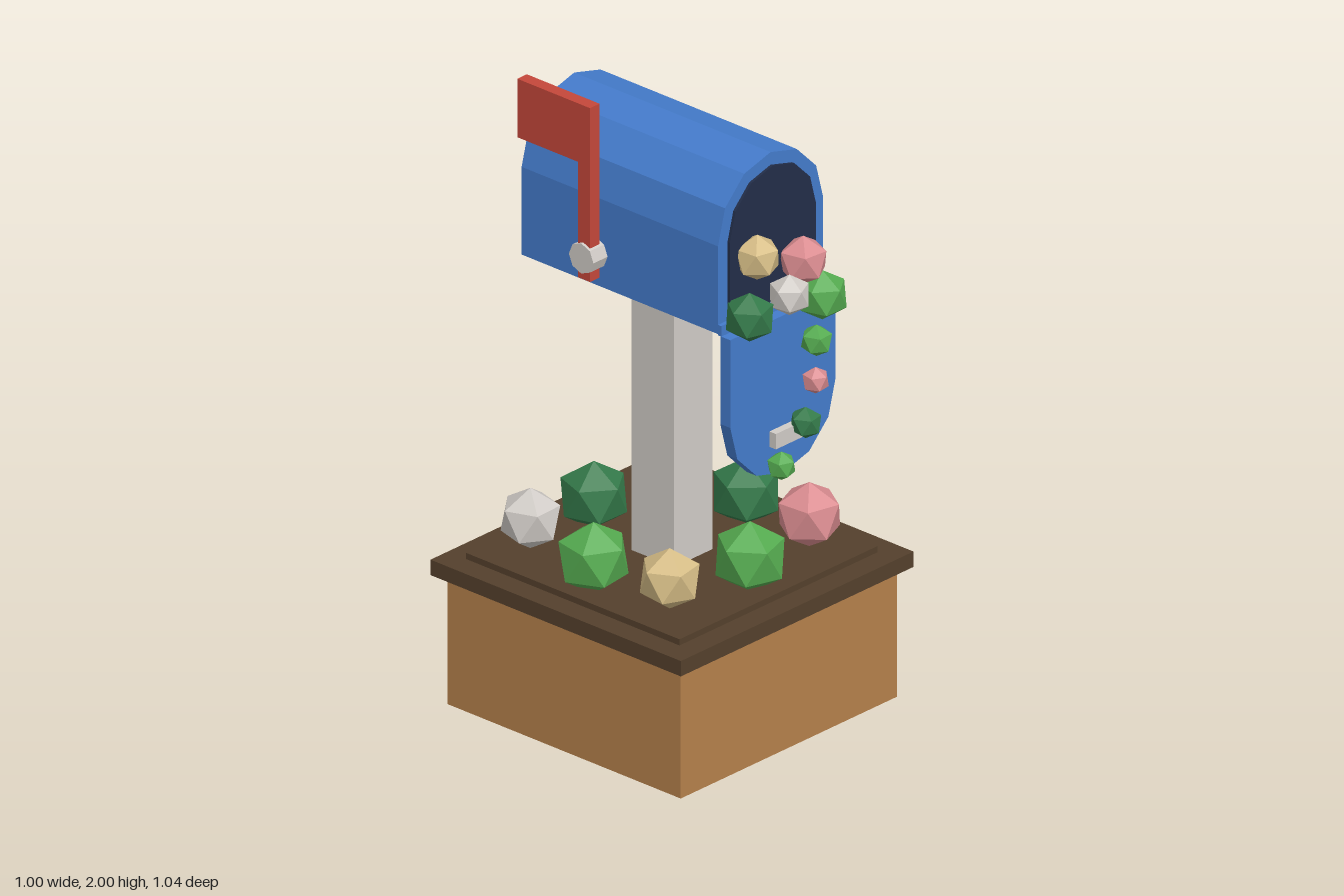
import * as THREE from 'three';

const mat = (name, color) => {
  const m = new THREE.MeshStandardMaterial({ color, flatShading: true });
  m.name = name;
  return m;
};

export function createModel() {
  const root = new THREE.Group();
  root.name = 'flowerMailbox';
  const blue = mat('blue', 0x447bcb), navy = mat('navy', 0x222d48), wood = mat('wood', 0xb5804b),
    soil = mat('darkBrown', 0x54402c), red = mat('red', 0xc4473a), pale = mat('paleGrey', 0xd0cbc6),
    green = mat('leafGreen', 0x55ab50), dark = mat('darkGreen', 0x347a4a),
    tan = mat('cream', 0xd6bd86), pink = mat('pink', 0xda8c90);

  const add = (name, geo, material, x = 0, y = 0, z = 0) => {
    const mesh = new THREE.Mesh(geo, material);
    mesh.name = name;
    mesh.position.set(x, y, z);
    root.add(mesh);
    return mesh;
  };
  // Box given by its lower and upper corners
  const box = (name, m, x0, x1, y0, y1, z0, z1) =>
    add(name, new THREE.BoxGeometry(x1 - x0, y1 - y0, z1 - z0), m, (x0 + x1) / 2, (y0 + y1) / 2, (z0 + z1) / 2);

  // Arch outline: straight sides, half-round end in six facets
  const arch = (r, straight, depth, dir = 1) => {
    const pts = [new THREE.Vector2(-r, 0), new THREE.Vector2(r, 0)];
    for (let i = 0; i <= 6; i++) {
      const a = (i * Math.PI) / 6;
      pts.push(new THREE.Vector2(r * Math.cos(a), dir * (straight + r * Math.sin(a))));
    }
    return new THREE.ExtrudeGeometry(new THREE.Shape(pts), { depth, bevelEnabled: false });
  };

  // Planter and post
  box('planter', wood, -0.465, 0.465, 0, 0.42, -0.487, 0.443);
  box('planterRim', soil, -0.5, 0.5, 0.42, 0.47, -0.522, 0.476);
  box('soilBed', soil, -0.426, 0.426, 0.47, 0.49, -0.45, 0.402);
  box('post', pale, -0.083, 0.083, 0.49, 1.4, -0.108, 0.062);

  // Mailbox with dark opening and a door hanging open
  add('mailboxBody', arch(0.226, 0.285, 0.783), blue, 0, 1.4, -0.413);
  add('opening', arch(0.185, 0.255, 0.009), navy, 0, 1.43, 0.37);
  add('door', arch(0.226, 0.285, 0.04, -1), blue, 0, 1.396, 0.379);
  box('doorHinge', blue, -0.226, 0.226, 1.396, 1.43, 0.37, 0.383);
  box('doorHandle', pale, -0.058, 0.058, 0.99, 1.04, 0.419, 0.445);

  // Signal flag
  box('flagPole', red, -0.278, -0.237, 1.435, 2, -0.14, -0.092);
  box('flag', red, -0.278, -0.237, 1.81, 2, -0.382, -0.14);
  const bolt = add('flagPivot', new THREE.CylinderGeometry(0.049, 0.049, 0.062, 8), pale, -0.256, 1.506, -0.119);
  bolt.rotation.z = Math.PI / 2;

  // Faceted blossoms and leaves, each with one corner pointing up
  const bloom = new THREE.IcosahedronGeometry(1, 0).rotateZ(Math.atan(2 / (1 + Math.sqrt(5))));
  const plant = (name, list) => list.forEach(([m, x, y, z, r], i) => {
    const b = add(name + (i + 1), bloom, m, x, y, z);
    b.scale.setScalar(r);
    b.rotation.y = i * 0.7;
  });
  plant('bedPlant', [
    [green, 0, 0.57, 0.288, 0.115],
    [pink, 0.285, 0.597, 0.26, 0.104],
    [dark, 0.32, 0.565, -0.025, 0.11],
    [pale, 0.285, 0.592, -0.31, 0.094],
    [dark, 0, 0.565, -0.335, 0.11],
    [pale, -0.285, 0.595, -0.323, 0.098],
    [green, -0.316, 0.57, -0.043, 0.115],
    [tan, -0.3, 0.592, 0.246, 0.098],
  ]);
  plant('mailboxPlant', [
    [dark, -0.16, 1.453, 0.435, 0.079],
    [tan, -0.092, 1.613, 0.402, 0.073],
    [pale, 0, 1.472, 0.445, 0.066],
    [pink, 0.088, 1.546, 0.418, 0.078],
    [green, 0.14, 1.423, 0.447, 0.08],
    [green, 0.106, 1.29, 0.455, 0.051],
    [pink, 0.1, 1.163, 0.457, 0.043],
    [dark, 0.057, 1.041, 0.457, 0.051],
    [green, -0.042, 0.934, 0.452, 0.046],
  ]);
  return root;
}
